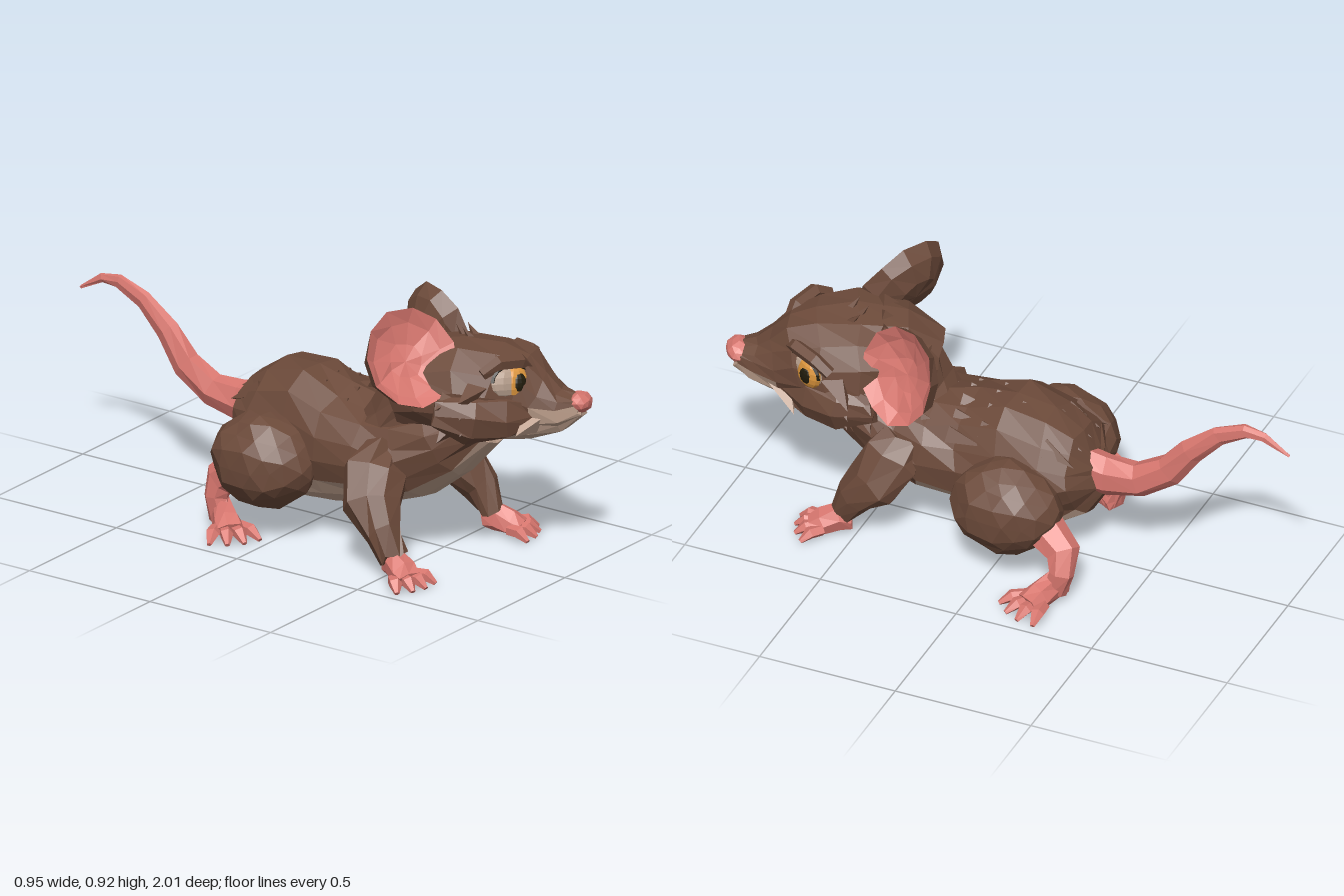
import * as THREE from 'three';

const V = (x, y, z) => new THREE.Vector3(x, y, z);
const mat = (name, color) => Object.assign(new THREE.MeshStandardMaterial({ color }), { name });

// Small repeatable wobble, equal for equal positions
const wobble = (p, amount) => {
  const n = (a, b, c) => Math.sin(Math.round(p.x * 500) * a + Math.round(p.y * 500) * b + Math.round(p.z * 500) * c);
  return V(n(1.3, 2.1, 0.7), n(0.9, 1.7, 2.3), n(2.7, 0.6, 1.1)).multiplyScalar(amount).add(p);
};

// Give a built-in geometry flat facets with uneven corners
function faceted(geo, amount = 0) {
  const g = geo.index ? geo.toNonIndexed() : geo;
  const pos = g.attributes.position;
  for (let i = 0; i < pos.count; i++) {
    const p = wobble(V().fromBufferAttribute(pos, i), amount);
    pos.setXYZ(i, p.x, p.y, p.z);
  }
  g.computeVertexNormals();
  return g;
}

// Skin oval rings [x, y, z, rx, ry] along a path; pick chooses a material per face
function loft(rows, segs, ref, amount = 0, pick = () => 0) {
  const centres = rows.map(r => V(r[0], r[1], r[2]));
  const rings = rows.map((r, i) => {
    const t = centres[Math.min(i + 1, rows.length - 1)].clone().sub(centres[Math.max(i - 1, 0)]).normalize();
    const side = ref.clone().cross(t).normalize(), up = t.clone().cross(side);
    return Array.from({ length: segs }, (_, j) => {
      const a = (j / segs) * Math.PI * 2;
      const p = centres[i].clone().addScaledVector(side, Math.cos(a) * r[3]).addScaledVector(up, Math.sin(a) * r[4]);
      return wobble(p, amount);
    });
  });
  const lists = [[], []];
  const tri = (k, ...ps) => ps.forEach(p => lists[k].push(p.x, p.y, p.z));
  const last = rows.length - 1;
  for (let j = 0; j < segs; j++) {
    const n = (j + 1) % segs, s = Math.sin(((j + 0.5) / segs) * Math.PI * 2);
    for (let i = 0; i < last; i++) {
      const k = pick(i, s), a = rings[i], b = rings[i + 1];
      tri(k, a[j], a[n], b[n]);
      tri(k, a[j], b[n], b[j]);
    }
    tri(pick(0, s), centres[0], rings[0][n], rings[0][j]);
    tri(pick(last - 1, s), centres[last], rings[last][j], rings[last][n]);
  }
  const g = new THREE.BufferGeometry();
  g.setAttribute('position', new THREE.Float32BufferAttribute([...lists[0], ...lists[1]], 3));
  g.addGroup(0, lists[0].length / 3, 0);
  g.addGroup(lists[0].length / 3, lists[1].length / 3, 1);
  g.computeVertexNormals();
  return g;
}

export function createModel() {
  const model = new THREE.Group();
  model.name = 'mouse';
  const fur = mat('brown fur', 0x6c4a3a), skin = mat('pink skin', 0xd8776f), pale = mat('pale fur', 0xbd9f8c);
  const white = mat('eye white', 0xb8a08e), amber = mat('amber iris', 0xdc953c), dark = mat('dark pupil', 0x211c0c);
  const UP = V(0, 1, 0), FRONT = V(0, 0, 1);

  const add = (parent, name, geo, material) => {
    const m = new THREE.Mesh(geo, material);
    m.name = name;
    parent.add(m);
    return m;
  };
  const tuft = (parent, name, p, dir, r, len, material = fur) => {
    const m = add(parent, name, faceted(new THREE.ConeGeometry(r, len, 4)), material);
    m.position.copy(p);
    m.quaternion.setFromUnitVectors(UP, dir.normalize());
  };

  // Body with a pale belly and chest
  add(model, 'body', loft([
    [-0.03, 0.35, -0.3, 0.07, 0.08], [-0.03, 0.34, -0.25, 0.17, 0.16], [-0.03, 0.335, -0.15, 0.215, 0.22],
    [-0.035, 0.335, 0, 0.22, 0.242], [-0.05, 0.325, 0.15, 0.215, 0.205], [-0.05, 0.33, 0.3, 0.23, 0.18],
    [-0.04, 0.36, 0.43, 0.21, 0.155], [-0.02, 0.42, 0.55, 0.18, 0.135], [0, 0.5, 0.65, 0.13, 0.1],
  ], 16, UP, 0.01, (i, s) => (i > 0 && s < (i === 3 || i === 4 ? -0.5 : -0.6) ? 1 : 0)), [fur, pale]);
  add(model, 'neck', loft([
    [-0.05, 0.38, 0.28, 0.17, 0.1], [-0.045, 0.47, 0.37, 0.155, 0.105], [-0.04, 0.6, 0.43, 0.15, 0.12],
    [-0.02, 0.66, 0.5, 0.14, 0.11],
  ], 12, UP, 0.008), fur);

  // Fur tufts lying along the back and rump
  for (let row = 0; row < 5; row++) for (let k = 0; k < 5; k++) {
    const z = -0.2 + row * 0.11, a = (k - 2 + (row % 2) * 0.5) * 0.36;
    const h = [0.155, 0.2, 0.192, 0.17, 0.15][row];
    tuft(model, 'backTuft', V(-0.035 + Math.sin(a) * 0.2, 0.33 + Math.cos(a) * h, z),
      V(Math.sin(a) * 0.3, row < 1 ? -0.4 : 0.04, -1), 0.04, 0.13);
  }

  // Tail
  add(model, 'tail', loft([
    [-0.01, 0.36, -0.22, 0.06, 0.08], [-0.01, 0.345, -0.33, 0.055, 0.075], [-0.01, 0.36, -0.45, 0.05, 0.06],
    [-0.01, 0.43, -0.56, 0.045, 0.055], [-0.01, 0.53, -0.64, 0.035, 0.045], [-0.01, 0.62, -0.74, 0.022, 0.035],
    [-0.01, 0.665, -0.84, 0.017, 0.025], [-0.01, 0.663, -0.91, 0.013, 0.018], [-0.01, 0.61, -1, 0.003, 0.004],
  ], 7, UP, 0.003), skin);

  // Foot: flat palm with four fanned toes
  const foot = (name, x, z, heading, length, width) => {
    const g = new THREE.Group();
    g.name = name;
    g.position.set(x, 0, z);
    g.rotation.y = heading;
    const palm = length * 0.6;
    add(g, 'palm', loft([
      [0, 0.055, -0.045, 0.03, 0.035], [0, 0.062, 0, width * 0.8, 0.052], [0, 0.046, palm * 0.6, width, 0.042],
      [0, 0.034, palm, width, 0.028],
    ], 7, UP, 0.004), skin);
    for (let i = 0; i < 4; i++) {
      const s = (i - 1.5) / 1.5, a = s * 0.5, b = palm - 0.02 - Math.abs(s) * 0.015, l = length - palm + 0.02;
      const at = (f, y, r) => [s * width * 0.8 + Math.sin(a) * l * f, y, b + Math.cos(a) * l * f, r, r * 0.9];
      add(g, 'toe', loft([at(0, 0.033, 0.023), at(0.55, 0.034, 0.024), at(1, 0.01, 0.009)], 5, UP), skin);
    }
    model.add(g);
  };

  // Hind legs
  for (const [side, x, ankle, z, heading] of [['left', 0.205, 0.28, -0.265, 1.1], ['right', -0.265, -0.285, -0.215, -0.7]]) {
    const thigh = faceted(new THREE.IcosahedronGeometry(1, 2), 0.04).scale(0.145, 0.168, 0.195);
    thigh.computeVertexNormals();
    add(model, side + 'Thigh', thigh, fur).position.set(x, 0.277, -0.055);
    add(model, side + 'HindShin', loft([
      [x, 0.24, z + 0.09, 0.07, 0.08], [(x + ankle) / 2, 0.17, z - 0.015, 0.055, 0.06],
      [ankle, 0.11, z - 0.025, 0.042, 0.045], [ankle, 0.04, z, 0.042, 0.045],
    ], 7, FRONT, 0.004), skin);
    foot(side + 'HindFoot', ankle, z, heading, 0.195, 0.052);
  }

  // Forelegs
  add(model, 'leftForeleg', loft([
    [0.1, 0.36, 0.36, 0.09, 0.08], [0.145, 0.31, 0.39, 0.1, 0.105], [0.195, 0.23, 0.44, 0.08, 0.09],
    [0.205, 0.16, 0.5, 0.06, 0.065], [0.205, 0.08, 0.55, 0.045, 0.046],
  ], 9, FRONT, 0.01), fur);
  foot('leftFrontFoot', 0.21, 0.56, 0.4, 0.155, 0.05);
  add(model, 'rightForeleg', loft([
    [-0.18, 0.37, 0.37, 0.09, 0.08], [-0.25, 0.31, 0.39, 0.115, 0.11], [-0.325, 0.23, 0.43, 0.085, 0.095],
    [-0.35, 0.16, 0.49, 0.06, 0.065], [-0.355, 0.08, 0.54, 0.045, 0.046],
  ], 9, FRONT, 0.01), fur);
  foot('rightFrontFoot', -0.355, 0.55, -0.3, 0.145, 0.055);

  // Ears: domed fur back and hollow pink inside
  const ear = (name, pos, normal, rx, ry) => {
    const g = new THREE.Group();
    g.name = name;
    const shell = pts => {
      const geo = new THREE.LatheGeometry(pts.map(p => new THREE.Vector2(...p)), 11).rotateX(Math.PI / 2);
      return faceted(geo.scale(rx, ry, 1), 0.004);
    };
    add(g, 'earBack', shell([[0, -0.1], [0.5, -0.09], [0.88, -0.045], [1, 0.01]]), fur);
    add(g, 'earInside', shell([[1, 0.01], [0.75, -0.02], [0.35, -0.04], [0, -0.045]]), skin);
    g.position.copy(pos);
    g.lookAt(pos.clone().add(normal));
    model.add(g);
  };
  ear('leftEar', V(0.2, 0.685, 0.345), V(0.92, 0.24, 0.3), 0.155, 0.18);
  ear('rightEar', V(-0.25, 0.765, 0.54), V(-0.38, 0.47, 0.79), 0.17, 0.175);

  // Head, turned and tilted to its left, with a pale muzzle
  const head = new THREE.Group();
  head.name = 'head';
  head.position.set(0, 0.6, 0.58);
  head.rotation.set(0, 0.42, -0.17, 'YXZ');
  model.add(head);
  add(head, 'skull', loft([
    [0, -0.04, -0.24, 0.12, 0.12], [0, 0, -0.14, 0.19, 0.16], [0, 0.01, 0, 0.225, 0.18], [0, 0, 0.12, 0.205, 0.176],
    [0, -0.012, 0.2, 0.16, 0.16], [-0.005, -0.04, 0.27, 0.12, 0.118], [-0.02, -0.045, 0.35, 0.085, 0.075],
    [-0.028, -0.03, 0.41, 0.05, 0.042],
  ], 14, UP, 0.007, (i, s) => (i >= 3 && s < (i > 4 ? 0.1 : -0.3) ? 1 : 0)), [fur, pale]);
  const nose = add(head, 'nose', faceted(new THREE.IcosahedronGeometry(1, 1), 0.06), skin);
  nose.position.set(-0.03, -0.018, 0.405);
  nose.scale.set(0.057, 0.036, 0.045);

  for (const s of [1, -1]) {
    // Eye, glancing to the model's left
    const eye = new THREE.Group();
    eye.name = s > 0 ? 'leftEye' : 'rightEye';
    eye.position.set(s * 0.134, 0.054, 0.18);
    eye.rotation.set(-0.08, s * 0.75, 0, 'YXZ');
    head.add(eye);
    const ball = (name, material, x, z, rx, ry, rz) => {
      const m = add(eye, name, faceted(new THREE.SphereGeometry(1, 12, 8)), material);
      m.position.set(x, -0.004, z);
      m.scale.set(rx, ry, rz);
    };
    ball('eyeball', white, 0, 0, 0.08, 0.055, 0.03);
    ball('iris', amber, 0.024, 0.008, 0.056, 0.056, 0.027);
    ball('pupil', dark, 0.027, 0.018, 0.033, 0.038, 0.021);
    const lid = add(eye, 'lidLine', faceted(new THREE.TorusGeometry(0.07, 0.007, 4, 8, Math.PI)), dark);
    lid.scale.set(1.1, 0.76, 1);
    lid.position.set(0, 0.002, 0.014);
    // Brow ridge
    add(eye, 'brow', loft([
      [-0.1, 0.03, -0.015, 0.02, 0.024], [-0.045, 0.066, 0.006, 0.026, 0.026],
      [0.045, 0.066, 0.006, 0.026, 0.026], [0.1, 0.03, -0.015, 0.02, 0.024],
    ], 5, FRONT), fur);
    // Full, shaggy cheeks sweeping back from the muzzle
    add(head, 'cheek', loft([
      [s * 0.095, -0.06, 0.26, 0.02, 0.04], [s * 0.14, -0.068, 0.17, 0.055, 0.082],
      [s * 0.195, -0.065, 0.06, 0.07, 0.092], [s * 0.245, -0.05, -0.05, 0.03, 0.05],
    ], 8, UP, 0.008), fur);
    for (let i = 0; i < 6; i++) {
      tuft(head, 'cheekTuft', V(s * (0.23 - i * 0.007), 0.01 - i * 0.026, 0.06 - (i % 2) * 0.08),
        V(s, -0.25 - i * 0.08, -0.35), 0.055, 0.13);
    }
    // Pale tuft beside the mouth
    tuft(head, 'mouthTuft', V(s * 0.125, -0.1, 0.24), V(s, -0.4, -0.35), 0.055, 0.13, pale);
  }

  // Crown and nape tufts
  for (let i = 0; i < 3; i++) {
    tuft(head, 'crownTuft', V((i - 1) * 0.035, 0.18, 0.02 - (i % 2) * 0.03), V((i - 1) * 0.3, 1, -0.7), 0.022, 0.08);
    tuft(head, 'napeTuft', V((i - 1) * 0.08, 0.12, -0.13), V((i - 1) * 0.2, -0.5, -1), 0.045, 0.14);
  }
  return model;
}
